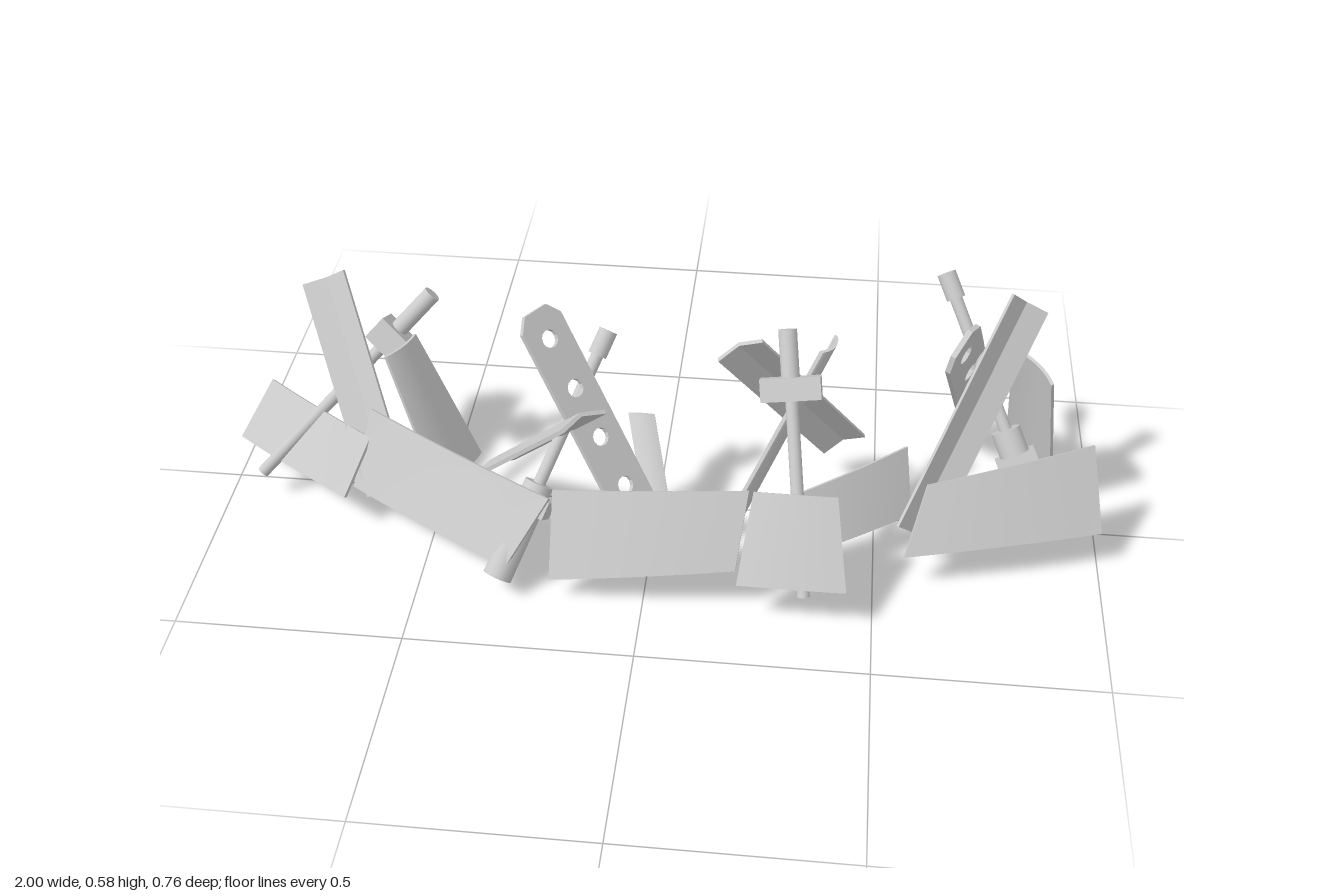
import * as THREE from 'three';

const V = (a) => new THREE.Vector3(...a);

export function createModel() {
  const group = new THREE.Group();
  const metal = new THREE.MeshStandardMaterial({ color: 0xcccccc, side: THREE.DoubleSide });

  const add = (name, geometry) => {
    const mesh = new THREE.Mesh(geometry, metal);
    mesh.name = name;
    group.add(mesh);
    return mesh;
  };

  // Places a geometry built along +z so it runs from a to b, its x axis near the width direction
  const along = (geometry, a, b, width = [1, 0.1, 0]) => {
    const z = V(b).sub(V(a)).normalize();
    const x = V(width).addScaledVector(z, -V(width).dot(z)).normalize();
    const y = z.clone().cross(x);
    return geometry.applyMatrix4(new THREE.Matrix4().makeBasis(x, y, z).setPosition(V(a)));
  };

  // Slightly bent sheet through four corners: bottom left, bottom right, top right, top left
  const sheet = (name, bl, br, tr, tl, bulge = 0.012, thickness = 0.008) => {
    const [p, q, r, s] = [bl, br, tr, tl].map(V);
    const normal = r.clone().sub(p).cross(s.clone().sub(q)).normalize();
    const geometry = new THREE.BoxGeometry(1, 1, 1, 8, 1, 1);
    const pos = geometry.attributes.position;
    for (let i = 0; i < pos.count; i++) {
      const u = pos.getX(i) + 0.5, v = pos.getY(i) + 0.5;
      const low = p.clone().lerp(q, u), high = s.clone().lerp(r, u);
      const depth = pos.getZ(i) * thickness + bulge * (4 * u * (1 - u) - 0.5);
      const point = low.lerp(high, v).addScaledVector(normal, depth);
      pos.setXYZ(i, point.x, point.y, point.z);
    }
    geometry.computeVertexNormals();
    add(name, geometry);
  };

  // Shallow folded channel
  const beam = (name, a, b, width) => {
    const h = 0.054, d = 0.016, t = 0.009;
    const profile = new THREE.Shape([[-h, -d], [0, 0], [h, -d], [h, t - d], [0, t], [-h, t - d]]
      .map(([x, y]) => new THREE.Vector2(x, y)));
    const geometry = new THREE.ExtrudeGeometry(profile, { depth: V(a).distanceTo(V(b)), bevelEnabled: false });
    add(name, along(geometry, a, b, width));
  };

  // Flat strap with clipped ends and a row of round holes
  const strap = (name, a, b, width, half) => {
    const L = V(a).distanceTo(V(b)), c = half * 0.55, t = 0.012;
    const shape = new THREE.Shape([[-c, 0], [c, 0], [half, c], [half, L - c], [c, L], [-c, L], [-half, L - c], [-half, c]]
      .map(([x, y]) => new THREE.Vector2(x, y)));
    for (let i = 0; i < 5; i++) {
      const hole = new THREE.Path();
      hole.absarc(0, L * (0.11 + 0.195 * i), half * 0.36, 0, Math.PI * 2, true);
      shape.holes.push(hole);
    }
    const geometry = new THREE.ExtrudeGeometry(shape, { depth: t, bevelEnabled: false, curveSegments: 6 });
    geometry.translate(0, 0, -t / 2).rotateX(Math.PI / 2);
    add(name, along(geometry, a, b, width));
  };

  // Rod with stepped sections, each [start, end, radius] as fractions of its length
  const pipe = (name, a, b, sections) => {
    const L = V(a).distanceTo(V(b));
    for (const [start, end, radius] of sections) {
      const geometry = new THREE.CylinderGeometry(radius, radius, (end - start) * L, 16);
      geometry.rotateX(Math.PI / 2).translate(0, 0, (start + end) / 2 * L);
      add(name, along(geometry, a, b));
    }
  };

  // Clamp box around a pipe at fraction f
  const clamp = (name, a, b, f, [w, h, d]) => {
    const geometry = new THREE.BoxGeometry(w, h, d);
    geometry.translate(0, 0, f * V(a).distanceTo(V(b)));
    add(name, along(geometry, a, b));
  };

  // Low leaning wall sheets
  sheet('wallSheetFarRight', [-1, 0.08, -0.04], [-0.70, 0.09, 0.165], [-0.65, 0.2, 0.08], [-0.925, 0.21, -0.1]);
  sheet('wallSheetRight', [-0.69, 0.085, 0.12], [-0.3, 0.08, 0.345], [-0.21, 0.225, 0.28], [-0.65, 0.258, 0.05]);
  sheet('wallSheetCentre', [-0.205, 0.05, 0.345], [0.2, 0.105, 0.335], [0.22, 0.26, 0.25], [-0.205, 0.225, 0.25]);
  sheet('wallSheetFront', [0.205, 0.097, 0.37], [0.44, 0.097, 0.37], [0.41, 0.26, 0.25], [0.23, 0.26, 0.25], 0.006);
  sheet('wallSheetLeft', [0.28, 0.08, 0.28], [0.58, 0.09, 0.09], [0.56, 0.235, 0.03], [0.25, 0.2, 0.23]);
  sheet('wallSheetFarLeft', [0.565, 0.085, 0.23], [1, 0.085, 0.105], [0.97, 0.25, 0], [0.605, 0.22, 0.14]);

  // Tall tapered sheets standing behind the wall
  sheet('tallSheetLeft', [0.905, 0.08, -0.085], [0.81, 0.08, -0.215], [0.785, 0.41, -0.13], [0.865, 0.39, -0.03]);
  sheet('tallSheetRight', [-0.49, 0.08, 0.11], [-0.42, 0.08, -0.04], [-0.55, 0.41, -0.04], [-0.6, 0.4, 0.04]);
  sheet('tallSheetInner', [0.14, 0.07, 0.26], [0.21, 0.08, 0.1], [0.39, 0.5, 0.0], [0.36, 0.49, 0.05]);
  sheet('shortSheetCentre', [0, 0.06, 0.2], [0.06, 0.06, 0.2], [-0.01, 0.25, -0.01], [-0.07, 0.25, -0.01], 0.006);

  // Folded channels
  beam('channelRight', [-0.6, 0.09, 0.13], [-0.78, 0.47, -0.155], [0.1, 0.04, 0]);
  beam('channelCentre', [-0.385, 0.1, 0.02], [-0.125, 0.48, 0.31], [0.07, 0.005, -0.06]);
  beam('channelBack', [0.42, 0.09, -0.165], [0.18, 0.51, 0.07], [0.09, 0.06, 0]);
  beam('channelLeft', [0.58, 0.1, 0.16], [0.795, 0.525, -0.14], [0.1, -0.015, -0.06]);

  // Perforated straps
  strap('perforatedStrapRight', [-0.26, 0.565, 0.065], [0.035, 0.05, 0.25], [0.565, 0.05, -0.73], 0.056);
  strap('perforatedStrapLeft', [0.65, 0.515, 0.02], [0.755, 0.015, -0.36], [0.5, 0.5, -0.7], 0.062);

  // Slim rods with a sleeve at the top
  const slim = [[0, 0.8, 0.014], [0.76, 1, 0.02]];
  const heavy = [[0, 0.38, 0.033], [0.38, 0.93, 0.014], [0.9, 1, 0.021]];
  const rods = [
    ['slimRodRight', [-0.92, 0.06, 0.06], [-0.525, 0.47, -0.115], slim, 0.76, [0.08, 0.07, 0.06]],
    ['slimRodLeft', [0.35, 0.05, 0.34], [0.28, 0.54, 0.04], slim, 0.78, [0.13, 0.05, 0.05]],
    // Rods with a heavy sleeve at the foot
    ['heavyRodRight', [-0.32, 0.04, 0.335], [-0.11, 0.48, 0], heavy, 0.3, [0.09, 0.075, 0.04]],
    ['heavyRodLeft', [0.87, 0.07, 0.07], [0.62, 0.54, -0.215], heavy, 0.25, [0.09, 0.075, 0.04]],
  ];
  for (const [name, a, b, sections, f, size] of rods) {
    pipe(name, a, b, sections);
    clamp(name + 'Clamp', a, b, f, size);
  }
  return group;
}
